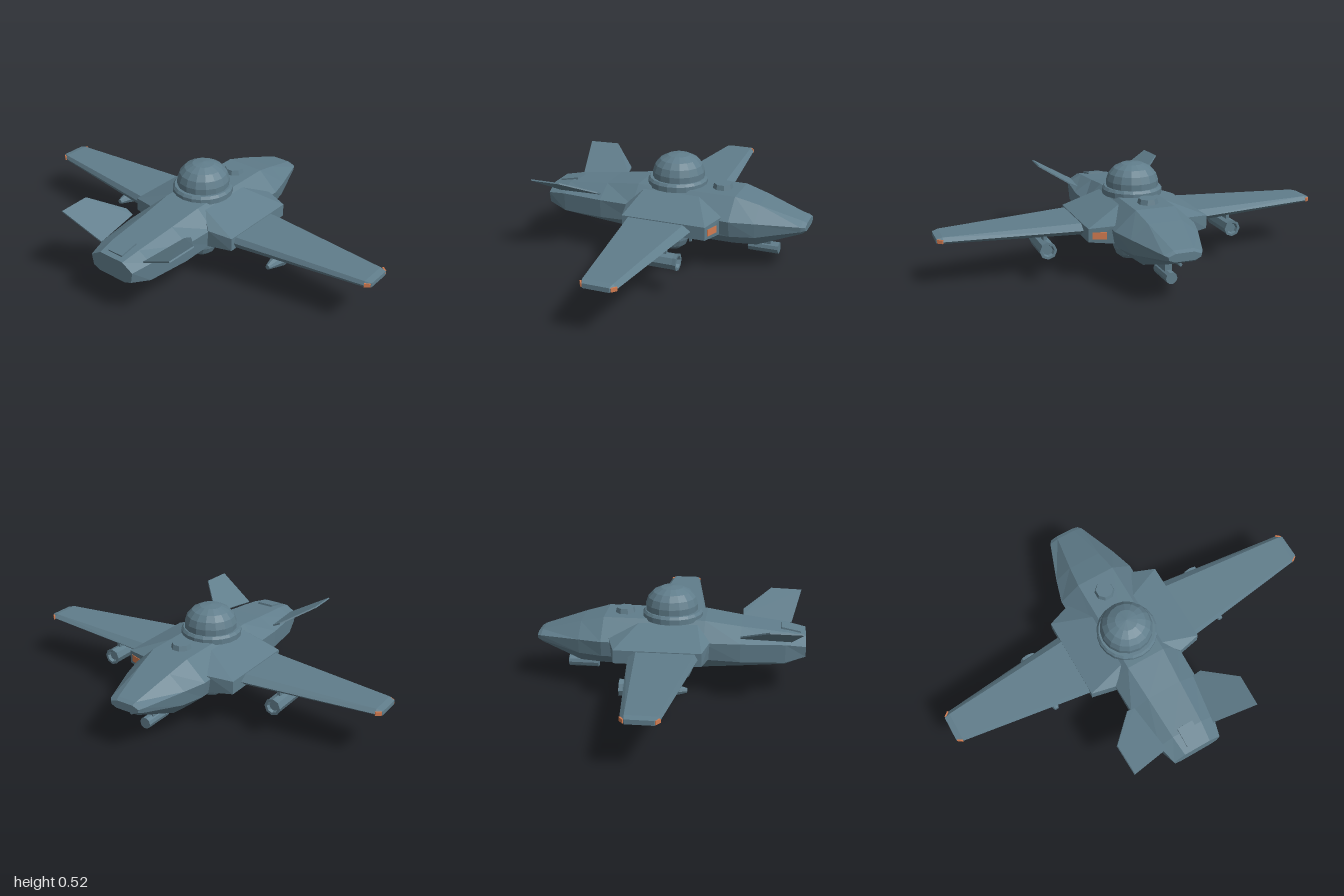
import * as THREE from 'three';
import { ConvexGeometry } from 'three/addons/geometries/ConvexGeometry.js';

export function createModel() {
  const model = new THREE.Group();
  const paint = (name, color) => {
    const m = new THREE.MeshStandardMaterial({ color, flatShading: true });
    m.name = name;
    return m;
  };
  const hullGrey = paint('blue grey', 0x607d8b);
  const orange = paint('lamp orange', 0xd27b50);

  const add = (name, geo, x = 0, y = 0, z = 0, mat = hullGrey, parent = model) => {
    const mesh = new THREE.Mesh(geo, mat);
    mesh.name = name;
    mesh.position.set(x, y, z);
    parent.add(mesh);
    return mesh;
  };
  const solid = (name, pts, s = 1) =>
    add(name, new ConvexGeometry(pts.map(([x, y, z]) => new THREE.Vector3(x, y, z * s))));
  // cylinder lying along x, r1 at the +x end
  const rod = (r1, r2, len, n) => new THREE.CylinderGeometry(r1, r2, len, n).rotateZ(-Math.PI / 2);

  // faceted shell through rings of [y, z] points, ordered top -> +z -> bottom -> -z
  function loft(rings) {
    const pos = [], n = rings[0].length;
    const tri = (...p) => p.forEach(q => pos.push(...q));
    for (let r = 0; r + 1 < rings.length; r++) {
      for (let i = 0; i < n; i++) {
        const j = (i + 1) % n, A = rings[r], B = rings[r + 1];
        tri(A[i], A[j], B[j]);
        tri(A[i], B[j], B[i]);
      }
    }
    const first = rings[0], last = rings[rings.length - 1];
    for (let i = 1; i + 1 < n; i++) {
      tri(last[0], last[i], last[i + 1]);
      tri(first[0], first[i + 1], first[i]);
    }
    const g = new THREE.BufferGeometry();
    g.setAttribute('position', new THREE.Float32BufferAttribute(pos, 3));
    g.computeVertexNormals();
    return g;
  }

  // fuselage: x, deck (z, y), chine (z, y), lower edge (z, y), keel (z, y)
  const sections = [
    [-0.68, 0.07, 0.305, 0.13, 0.27, 0.12, 0.215, 0.08, 0.20],
    [-0.58, 0.08, 0.325, 0.155, 0.285, 0.15, 0.19, 0.09, 0.16],
    [-0.36, 0.09, 0.35, 0.185, 0.29, 0.18, 0.195, 0.10, 0.145],
    [-0.18, 0.10, 0.375, 0.19, 0.29, 0.18, 0.20, 0.11, 0.135],
    [0.33, 0.10, 0.375, 0.205, 0.28, 0.19, 0.20, 0.12, 0.14],
    [0.45, 0.085, 0.343, 0.17, 0.275, 0.16, 0.20, 0.11, 0.145],
    [0.66, 0.05, 0.278, 0.095, 0.26, 0.09, 0.235, 0.06, 0.215],
    [0.68, 0.045, 0.268, 0.08, 0.255, 0.078, 0.24, 0.05, 0.228],
  ];
  add('fuselage', loft(sections.map(([x, ...p]) => {
    const half = [0, 2, 4, 6].map(k => [x, p[k + 1], p[k]]);
    return [...half, ...half.slice().reverse().map(([a, y, z]) => [a, y, -z])];
  })));

  // both sides: wing root, wing, tail fin, pod and tip lamps
  for (const s of [1, -1]) {
    const side = s > 0 ? 'left' : 'right';
    solid(side + 'WingRoot', [
      [-0.14, 0.365, 0.10], [0.14, 0.365, 0.10], [-0.21, 0.295, 0.19], [0.29, 0.295, 0.19],
      [-0.21, 0.20, 0.15], [0.29, 0.20, 0.15],
      [-0.18, 0.282, 0.31], [0.25, 0.282, 0.31], [-0.18, 0.215, 0.31], [0.25, 0.215, 0.31],
    ], s);
    solid(side + 'Wing', [
      [-0.165, 0.25, 0.29], [-0.15, 0.278, 0.29], [0.14, 0.278, 0.29], [0.18, 0.25, 0.29],
      [0.14, 0.22, 0.29], [-0.15, 0.22, 0.29],
      [-0.067, 0.25, 0.97], [-0.058, 0.268, 0.97], [0.085, 0.268, 0.97], [0.105, 0.25, 0.97],
      [0.085, 0.236, 0.97], [-0.058, 0.236, 0.97],
      [-0.045, 0.262, 1], [0.08, 0.262, 1], [-0.045, 0.24, 1], [0.08, 0.24, 1],
    ], s);
    // thin swept fin, tilted outwards
    const fin = [[-0.36, 0.318, 0.17], [-0.36, 0.338, 0.21], [-0.5, 0.415, 0.345],
      [-0.66, 0.412, 0.34], [-0.61, 0.298, 0.135]];
    solid(side + 'TailFin', fin.flatMap(([x, y, z]) =>
      [[x, y + 0.003, z - 0.002], [x, y - 0.003, z + 0.002]]), s);

    const pod = new THREE.Group();
    pod.name = side + 'EnginePod';
    pod.position.set(0, 0.172, 0.49 * s);
    model.add(pod);
    add('podBody', rod(0.04, 0.04, 0.2, 8), 0.07, 0, 0, hullGrey, pod);
    add('podTail', rod(0.04, 0.012, 0.1, 8), -0.08, 0, 0, hullGrey, pod);
    const lip = new THREE.LatheGeometry([[0.04, 0], [0.043, 0.018], [0.03, 0.018], [0.024, 0]]
      .map(([r, h]) => new THREE.Vector2(r, h)), 8).rotateZ(-Math.PI / 2);
    add('podIntake', lip, 0.168, 0, 0, hullGrey, pod);
    add('pylon', new THREE.BoxGeometry(0.16, 0.04, 0.018), 0.05, 0.045, 0, hullGrey, pod);

    // lamps on the bevelled wing corners
    for (const [x, dx] of [[0.094, -0.025], [-0.057, 0.022]]) {
      const lamp = add(side + 'TipLamp', new THREE.BoxGeometry(0.008, 0.018, 0.03),
        x, 0.251, 0.984 * s, orange);
      lamp.rotation.y = Math.atan2(dx, 0.03 * s);
    }
  }
  add('rootLamp', new THREE.BoxGeometry(0.008, 0.035, 0.07), 0.266, 0.248, 0.258, orange)
    .rotation.y = -0.32;

  // upper observation dome
  const lathe = (pts, n) => new THREE.LatheGeometry(pts.map(([r, y]) => new THREE.Vector2(r, y)), n);
  add('domeRing', lathe([[0, 0.365], [0.152, 0.365], [0.152, 0.392], [0.142, 0.405], [0, 0.405]], 20), -0.01, 0, -0.01);
  add('dome', lathe([[0.132, 0.4], [0.132, 0.435], [0.12, 0.47], [0.095, 0.498],
    [0.055, 0.518], [0, 0.525]], 16), -0.005, 0, -0.01);

  // deck hatch and tail hatch
  add('deckHatch', new THREE.CylinderGeometry(0.045, 0.053, 0.03, 8).rotateY(Math.PI / 8), 0.235, 0.385, 0);
  add('tailHatch', new THREE.BoxGeometry(0.1, 0.012, 0.085), -0.605, 0.322, 0).rotation.z = 0.2;

  // belly turret with its gun
  add('turretRing', new THREE.CylinderGeometry(0.1, 0.1, 0.025, 16), -0.03, 0.128, 0);
  add('bellyTurret', lathe([[0, 0], [0.04, 0.01], [0.067, 0.032], [0.08, 0.065],
    [0.083, 0.1], [0.08, 0.12]], 16), -0.03, 0.004, 0);
  add('turretGun', new THREE.BoxGeometry(0.012, 0.08, 0.012), 0.063, 0.095, 0);

  // chin cannon and nose probe
  add('chinCannon', rod(0.029, 0.029, 0.155, 10), 0.458, 0.093, 0);
  add('chinMount', new THREE.BoxGeometry(0.11, 0.06, 0.035), 0.44, 0.14, 0);
  add('noseProbe', rod(0.008, 0.012, 0.06, 6), 0.605, 0.195, 0);

  return model;
}
